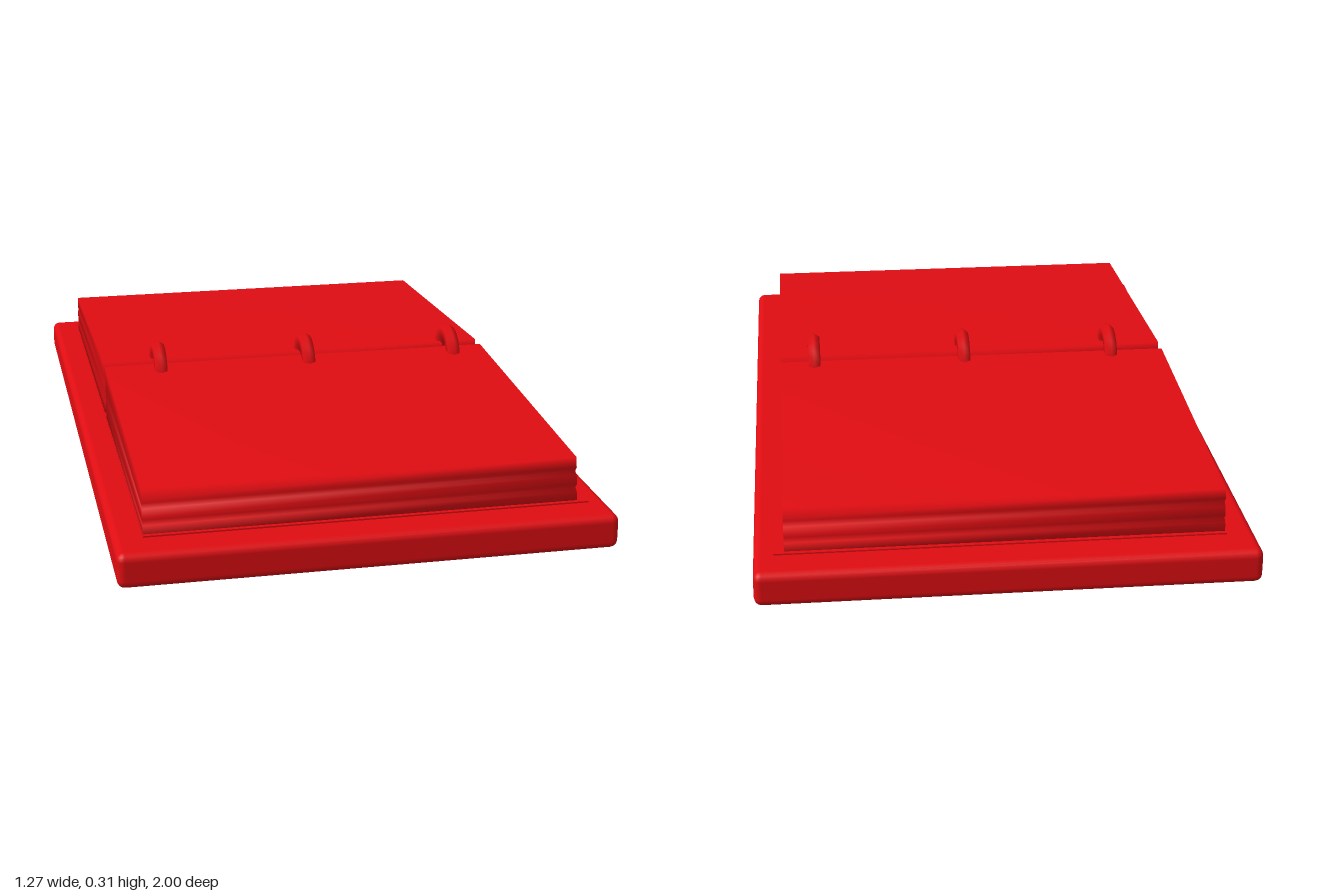
import * as THREE from 'three';
import { RoundedBoxGeometry } from 'three/addons/geometries/RoundedBoxGeometry.js';

const red = new THREE.MeshStandardMaterial({ color: 0xe00d12 });

function addMesh(parent, name, geometry, x = 0, y = 0, z = 0) {
  const mesh = new THREE.Mesh(geometry, red);
  mesh.name = name;
  mesh.position.set(x, y, z);
  parent.add(mesh);
  return mesh;
}

// Sloping wedge of paper, lofted upward; the outer edge is notched like layered sheets
function pageStackGeometry() {
  const halfWidth = 0.558, innerZ = 0.025, baseY = 0.085;
  const levels = [ // [height fraction, outer z]
    [0, 0.89], [0.25, 0.885], [0.33, 0.873], [0.42, 0.884],
    [0.6, 0.879], [0.68, 0.866], [0.78, 0.876], [1, 0.87],
  ];
  const positions = [], index = [];
  for (const [t, outerZ] of levels) {
    const outerY = baseY + 0.12 * t, innerY = baseY + 0.164 * t;
    positions.push(
      -halfWidth, outerY, outerZ, halfWidth, outerY, outerZ,
      halfWidth, innerY, innerZ, -halfWidth, innerY, innerZ);
  }
  for (let level = 0; level < levels.length - 1; level++) {
    for (let i = 0; i < 4; i++) {
      const a = level * 4 + i, b = level * 4 + (i + 1) % 4;
      index.push(a, b, b + 4, a, b + 4, a + 4);
    }
  }
  const top = (levels.length - 1) * 4;
  index.push(top, top + 1, top + 2, top, top + 2, top + 3);
  index.push(0, 2, 1, 0, 3, 2);
  const geometry = new THREE.BufferGeometry();
  geometry.setAttribute('position', new THREE.Float32BufferAttribute(positions, 3));
  geometry.setIndex(index);
  geometry.computeVertexNormals();
  return geometry;
}

export function createModel() {
  const model = new THREE.Group();
  model.name = 'openRingBinder';

  // Cover board with softened edges and a thin lining sheet
  addMesh(model, 'cover', new RoundedBoxGeometry(1.27, 0.09, 2, 2, 0.02), 0, 0.045, 0);
  addMesh(model, 'lining', new THREE.BoxGeometry(1.145, 0.01, 1.8), 0.0125, 0.089, 0);

  // Two stacks of pages, one on each side of the central gap
  const pages = pageStackGeometry();
  addMesh(model, 'frontPages', pages);
  addMesh(model, 'backPages', pages).rotation.y = Math.PI;

  // Binder rings bridging the gap
  const ringGeometry = new THREE.TorusGeometry(0.065, 0.025, 6, 8, Math.PI);
  ringGeometry.scale(1, 1, 0.8);
  ringGeometry.rotateY(Math.PI / 2);
  for (const x of [-0.403, 0.027, 0.46]) {
    addMesh(model, 'binderRing', ringGeometry, x, 0.225, 0.015);
  }
  return model;
}
